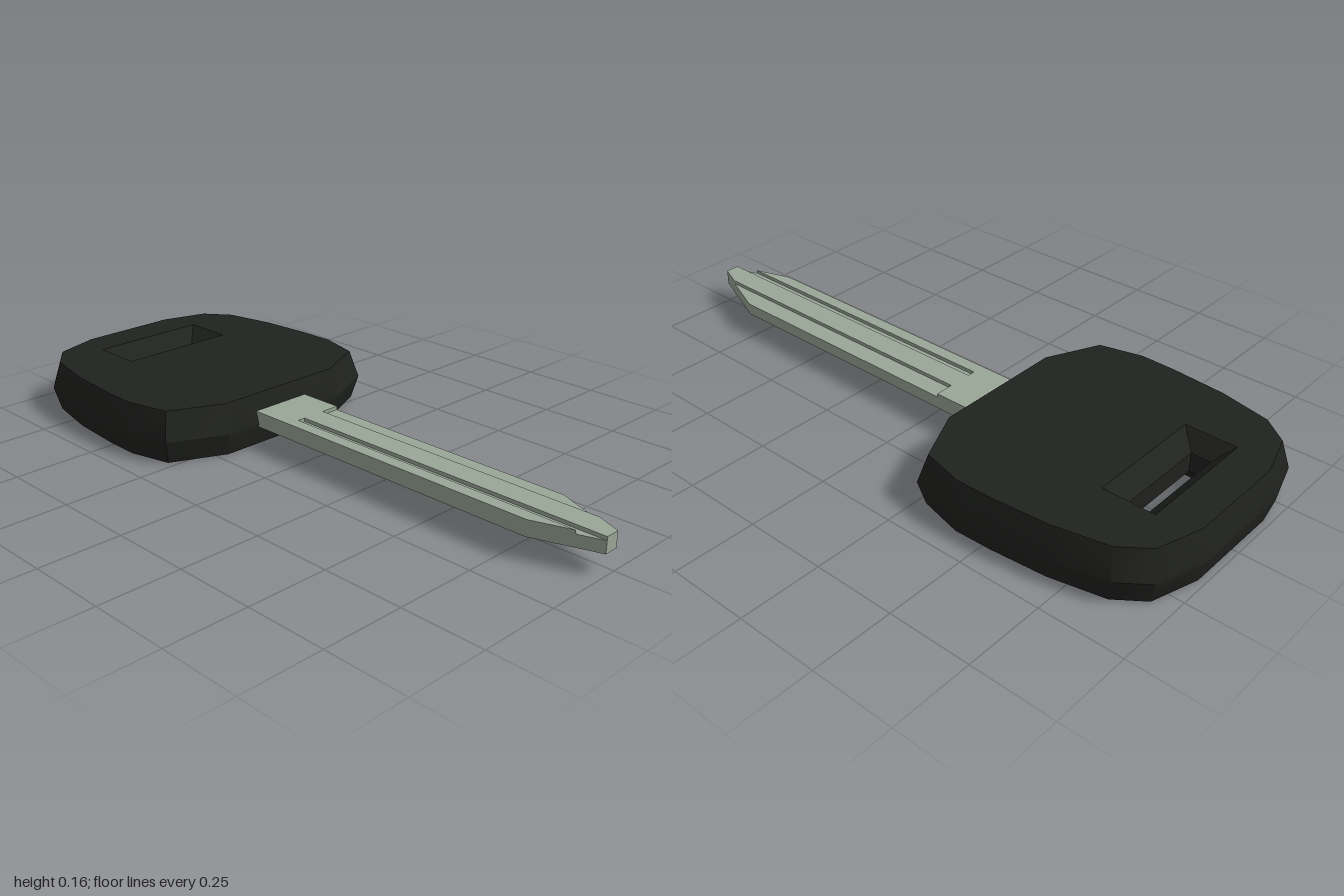
import * as THREE from 'three';
import { mergeGeometries, toCreasedNormals } from 'three/addons/utils/BufferGeometryUtils.js';

// Outlines are [x, z] pairs, counter-clockwise seen from above.
const toShape = (pts, sign) => new THREE.Shape(pts.map(([x, z]) => new THREE.Vector2(x, sign * z)));

// Flat plate between two heights
function plate(pts, y0, y1) {
  const g = new THREE.ExtrudeGeometry(toShape(pts, -1), { depth: y1 - y0, bevelEnabled: false });
  return g.rotateX(-Math.PI / 2).translate(0, y0, 0);
}

// Flat face with a hole, facing up or down
function cap(outline, hole, y, up) {
  const s = toShape(outline, up ? -1 : 1);
  s.holes.push(toShape(hole, up ? -1 : 1));
  const g = new THREE.ShapeGeometry(s).toNonIndexed();
  g.deleteAttribute('uv');
  return g.rotateX(up ? -Math.PI / 2 : Math.PI / 2).translate(0, y, 0);
}

// Walls joining successive rings, each { pts, y }
function walls(rings) {
  const pos = [];
  for (let r = 0; r + 1 < rings.length; r++) {
    const lo = rings[r], hi = rings[r + 1], n = lo.pts.length;
    for (let i = 0; i < n; i++) {
      const j = (i + 1) % n;
      const at = (ring, k) => [ring.pts[k][0], ring.y, ring.pts[k][1]];
      const a = at(lo, i), b = at(lo, j), c = at(hi, j), d = at(hi, i);
      pos.push(...a, ...b, ...c, ...a, ...c, ...d);
    }
  }
  const g = new THREE.BufferGeometry();
  g.setAttribute('position', new THREE.Float32BufferAttribute(pos, 3));
  g.computeVertexNormals();
  return g;
}

const rect = (x0, x1, z0, z1) => [[x0, z1], [x1, z1], [x1, z0], [x0, z0]];

export function createModel() {
  const model = new THREE.Group();
  const plastic = new THREE.MeshStandardMaterial({ color: 0x20221f });
  const metal = new THREE.MeshStandardMaterial({ color: 0x9aa898 });
  const add = (parent, name, geometry, material) => {
    const mesh = new THREE.Mesh(geometry, material);
    mesh.name = name;
    parent.add(mesh);
  };

  // Grip: faceted outline, widest at mid height, with a slot right through
  const half = [[0.225, -0.18], [0.4, -0.26], [0.435, -0.4], [0.432, -0.52],
    [0.417, -0.7], [0.38, -0.87], [0.315, -0.955], [0.165, -1]];
  const outline = [...half, ...half.map(([x, z]) => [-x, z]).reverse()];
  const inset = (d) => outline.map(([x, z]) =>
    [x * (1 - d / 0.435), -0.59 + (z + 0.59) * (1 - d / 0.41)]);
  const top = inset(0.025), bottom = inset(0.02);
  const rim = rect(-0.19, 0.19, -0.86, -0.7);
  const slot = rect(-0.15, 0.14, -0.81, -0.75);
  const grip = mergeGeometries([
    walls([{ pts: bottom, y: 0 }, { pts: outline, y: 0.073 }, { pts: top, y: 0.16 }]),
    walls([{ pts: rim, y: 0.16 }, { pts: slot, y: 0.11 }, { pts: slot, y: 0.05 }, { pts: rim, y: 0 }]),
    cap(top, rim, 0.16, true),
    cap(bottom, rim, 0, false),
  ]);
  add(model, 'grip', toCreasedNormals(grip, 0.6), plastic);

  // Blade: pointed slab, with raised lands that leave a groove and a side step
  const blade = new THREE.Group();
  blade.name = 'blade';
  model.add(blade);
  add(blade, 'bladeCore', plate([[-0.11, -0.25], [-0.11, 0.81], [-0.045, 1], [0, 1],
    [0.09, 0.78], [0.09, -0.25]], 0.063, 0.1), metal);
  add(blade, 'bladeLands', plate([[-0.11, -0.25], [-0.11, 0.81], [-0.07, 0.927],
    [-0.07, -0.05], [-0.045, -0.05], [-0.045, 1], [0, 1], [0.03, 0.927],
    [0.03, -0.05], [0.09, -0.05], [0.09, -0.25]], 0.1, 0.111), metal);
  return model;
}
